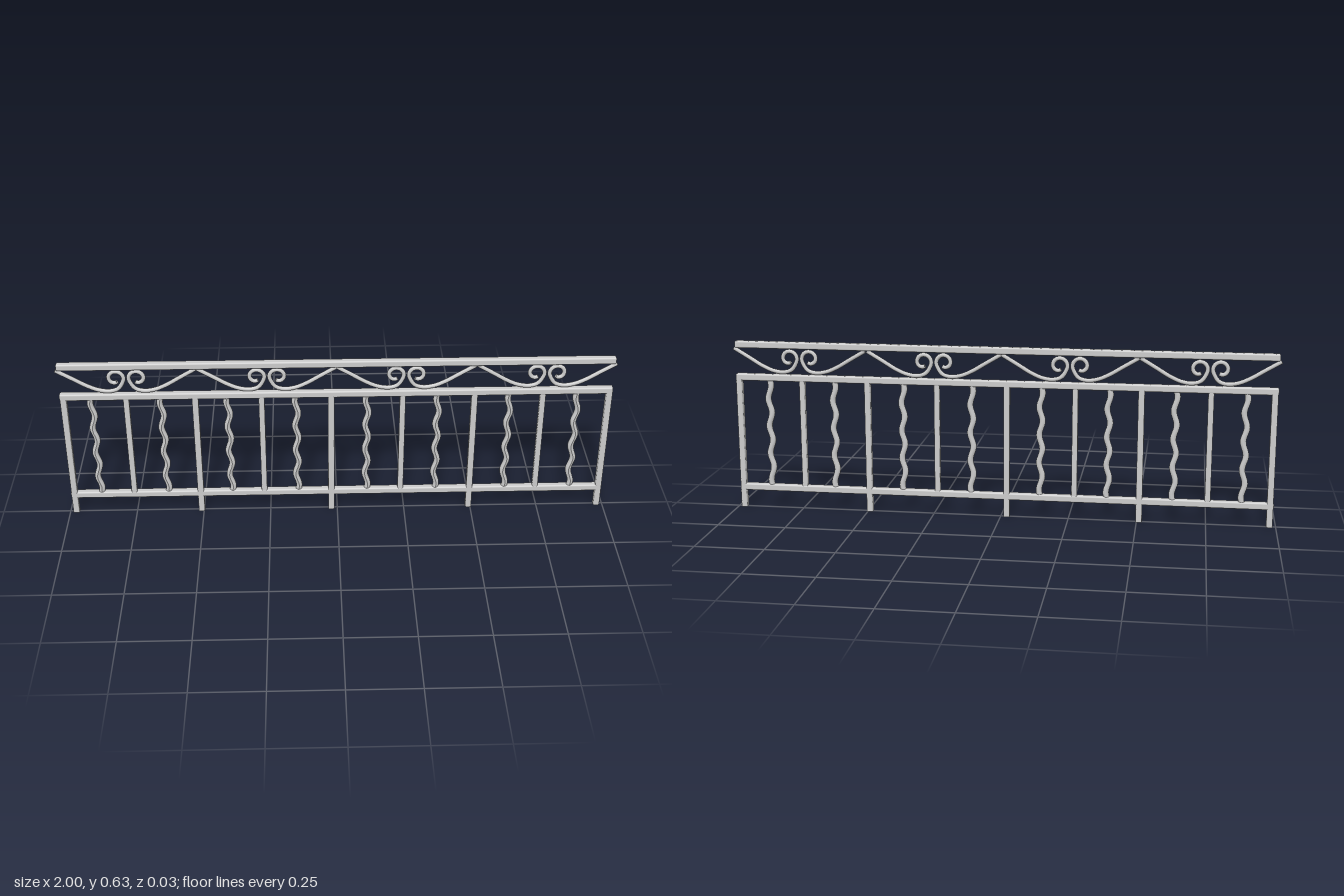
import * as THREE from 'three';
import { RoundedBoxGeometry } from 'three/addons/geometries/RoundedBoxGeometry.js';

const material = new THREE.MeshStandardMaterial({ color: 0xcccccc });
const RAIL = 0.026;

function add(parent, name, geometry, x = 0, y = 0) {
  const mesh = new THREE.Mesh(geometry, material);
  mesh.name = name;
  mesh.position.set(x, y, 0);
  parent.add(mesh);
  return mesh;
}

// Upright with rounded edges and flat ends
function uprightGeometry(width, depth, y0, y1, radius) {
  const w = width / 2 - radius, d = depth / 2 - radius;
  const shape = new THREE.Shape();
  shape.absarc(w, d, radius, 0, Math.PI / 2);
  shape.absarc(-w, d, radius, Math.PI / 2, Math.PI);
  shape.absarc(-w, -d, radius, Math.PI, Math.PI * 1.5);
  shape.absarc(w, -d, radius, Math.PI * 1.5, Math.PI * 2);
  const geometry = new THREE.ExtrudeGeometry(shape, { depth: y1 - y0, bevelEnabled: false, curveSegments: 3 });
  return geometry.rotateX(-Math.PI / 2).translate(0, y0, 0);
}

// Bar with a gentle sideways ripple
function wavyGeometry(y0, y1) {
  const height = y1 - y0;
  const geometry = new THREE.CylinderGeometry(0.0115, 0.0115, height, 10, 48);
  const p = geometry.attributes.position;
  for (let i = 0; i < p.count; i++) {
    const t = p.getY(i) / height + 0.5;
    p.setX(i, p.getX(i) + 0.006 * Math.sin(t * Math.PI * 8));
  }
  geometry.computeVertexNormals();
  return geometry.translate(0, (y0 + y1) / 2, 0);
}

// Half scroll: slopes down from a peak, sweeps along the rail and curls inward
function scrollGeometry(side) {
  const points = [[-0.247, 0.606], [-0.19, 0.572], [-0.14, 0.542], [-0.10, 0.525], [-0.06, 0.52], [-0.03, 0.53]];
  const turns = 12;
  for (let i = 0; i <= turns; i++) {
    const t = i / turns;
    const angle = -0.35 + t * Math.PI * 1.75;
    const r = 0.029 - 0.014 * t * t;
    points.push([-0.038 + r * Math.cos(angle), 0.571 + r * Math.sin(angle)]);
  }
  const curve = new THREE.CatmullRomCurve3(points.map(([x, y]) => new THREE.Vector3(x * side, y, 0)));
  return new THREE.TubeGeometry(curve, 90, 0.0078, 8);
}

// Discs closing both ends of a scroll tube
function addCaps(parent, geometry) {
  const { path, radius } = geometry.parameters;
  for (const t of [0, 1]) {
    const direction = path.getTangentAt(t).multiplyScalar(t ? 1 : -1);
    const cap = add(parent, 'scrollEnd', new THREE.CircleGeometry(radius, 8));
    cap.position.copy(path.getPointAt(t));
    cap.quaternion.setFromUnitVectors(new THREE.Vector3(0, 0, 1), direction);
  }
}

export function createModel() {
  const fence = new THREE.Group();
  fence.name = 'railing';

  // Three horizontal rails
  for (const [name, y] of [['topRail', 0.621], ['middleRail', 0.499], ['bottomRail', 0.078]]) {
    add(fence, name, new RoundedBoxGeometry(1.98, RAIL, RAIL, 3, 0.006), 0, y);
  }

  // Straight posts: every other one reaches the ground
  const posts = [-0.977, -0.754, -0.508, -0.271, -0.022, 0.235, 0.493, 0.739, 0.978];
  const longPost = uprightGeometry(0.023, RAIL, 0, 0.5, 0.005);
  const shortPost = uprightGeometry(0.021, 0.024, 0.075, 0.5, 0.005);
  posts.forEach((x, i) => add(fence, i % 2 ? 'shortPost' : 'longPost', i % 2 ? shortPost : longPost, x));

  // Wavy balusters between the posts
  const wavy = wavyGeometry(0.08, 0.495);
  for (const x of [-0.878, -0.63, -0.392, -0.147, 0.107, 0.362, 0.62, 0.865]) add(fence, 'wavyBaluster', wavy, x);

  // Mirrored scroll pairs below the top rail
  const halves = [scrollGeometry(1), scrollGeometry(-1)];
  for (const x of [-0.748, -0.25, 0.246, 0.748]) {
    const pair = new THREE.Group();
    pair.name = 'scrollPair';
    pair.position.x = x;
    for (const half of halves) {
      add(pair, 'scroll', half);
      addCaps(pair, half);
    }
    fence.add(pair);
  }
  return fence;
}
